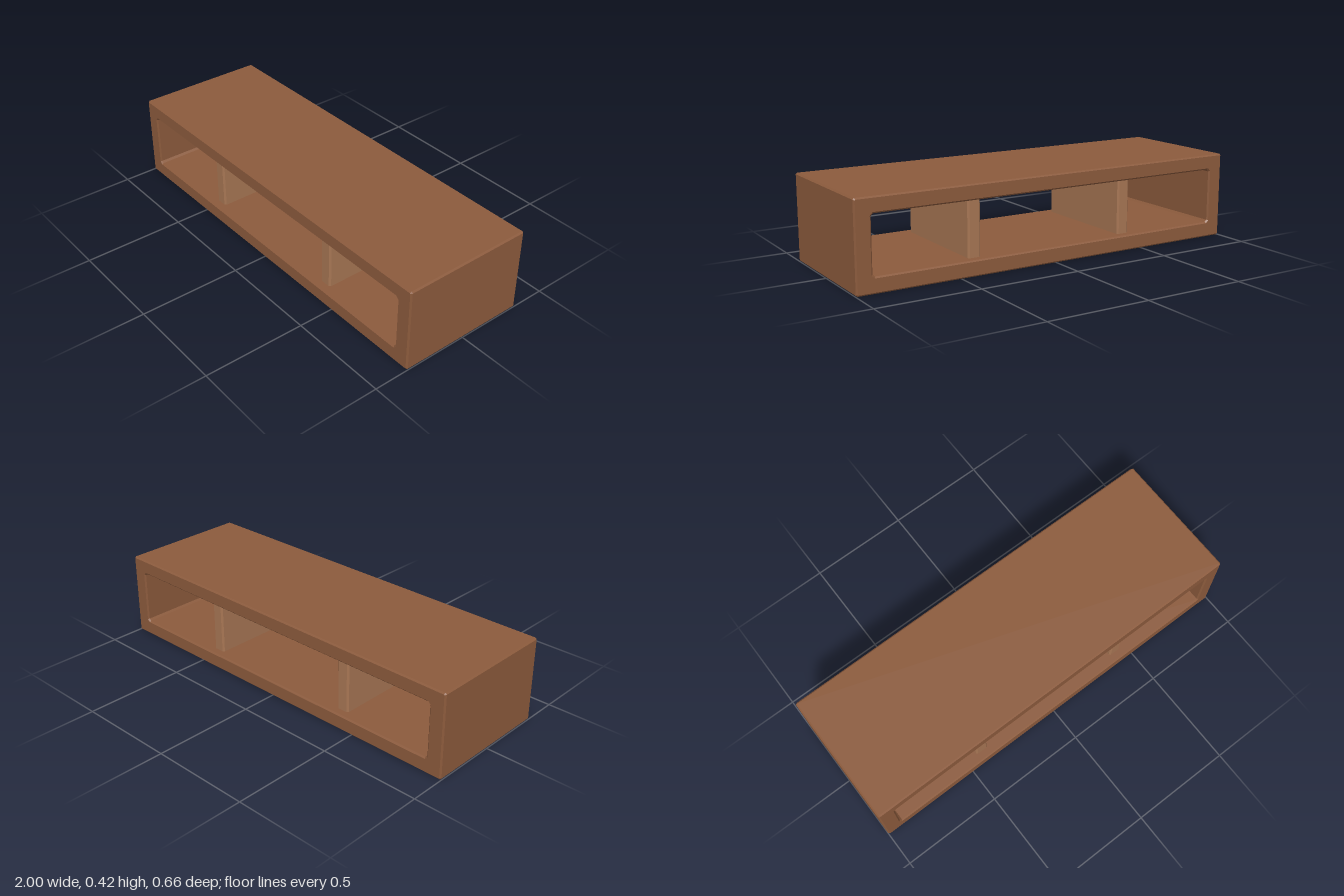
import * as THREE from 'three';

// Rectangle outline with cut corners
function cutRect(target, x0, x1, y0, y1, c) {
  target.setFromPoints([
    [x0 + c, y0], [x1 - c, y0], [x1, y0 + c], [x1, y1 - c],
    [x1 - c, y1], [x0 + c, y1], [x0, y1 - c], [x0, y0 + c],
  ].map(([x, y]) => new THREE.Vector2(x, y)));
  target.closePath();
  return target;
}

// Chamfered extrusion running from -halfDepth to +halfDepth along z
function board(name, shape, halfDepth, chamfer, color) {
  const geometry = new THREE.ExtrudeGeometry(shape, {
    depth: 2 * (halfDepth - chamfer),
    bevelEnabled: true,
    bevelThickness: chamfer,
    bevelSize: chamfer,
    bevelOffset: -chamfer,
    bevelSegments: 1,
  });
  geometry.translate(0, 0, chamfer - halfDepth);
  const mesh = new THREE.Mesh(geometry,
    new THREE.MeshStandardMaterial({ color, flatShading: true }));
  mesh.name = name;
  return mesh;
}

export function createModel() {
  const group = new THREE.Group();
  group.name = 'openShelf';

  // Outer frame, open at front and back
  const outline = cutRect(new THREE.Shape(), -1, 1, 0, 0.42, 0.007);
  outline.holes.push(cutRect(new THREE.Path(), -0.922, 0.922, 0.076, 0.346, 0.01));
  group.add(board('frame', outline, 0.33, 0.007, 0x8b5a3c));

  // Two upright dividers, set back from the frame and let into its boards
  for (const [name, x] of [['leftDivider', 0.413], ['rightDivider', -0.413]]) {
    const upright = cutRect(new THREE.Shape(), -0.032, 0.032, 0.06, 0.362, 0.007);
    const divider = board(name, upright, 0.29, 0.008, 0xa67553);
    divider.position.x = x;
    group.add(divider);
  }
  return group;
}
